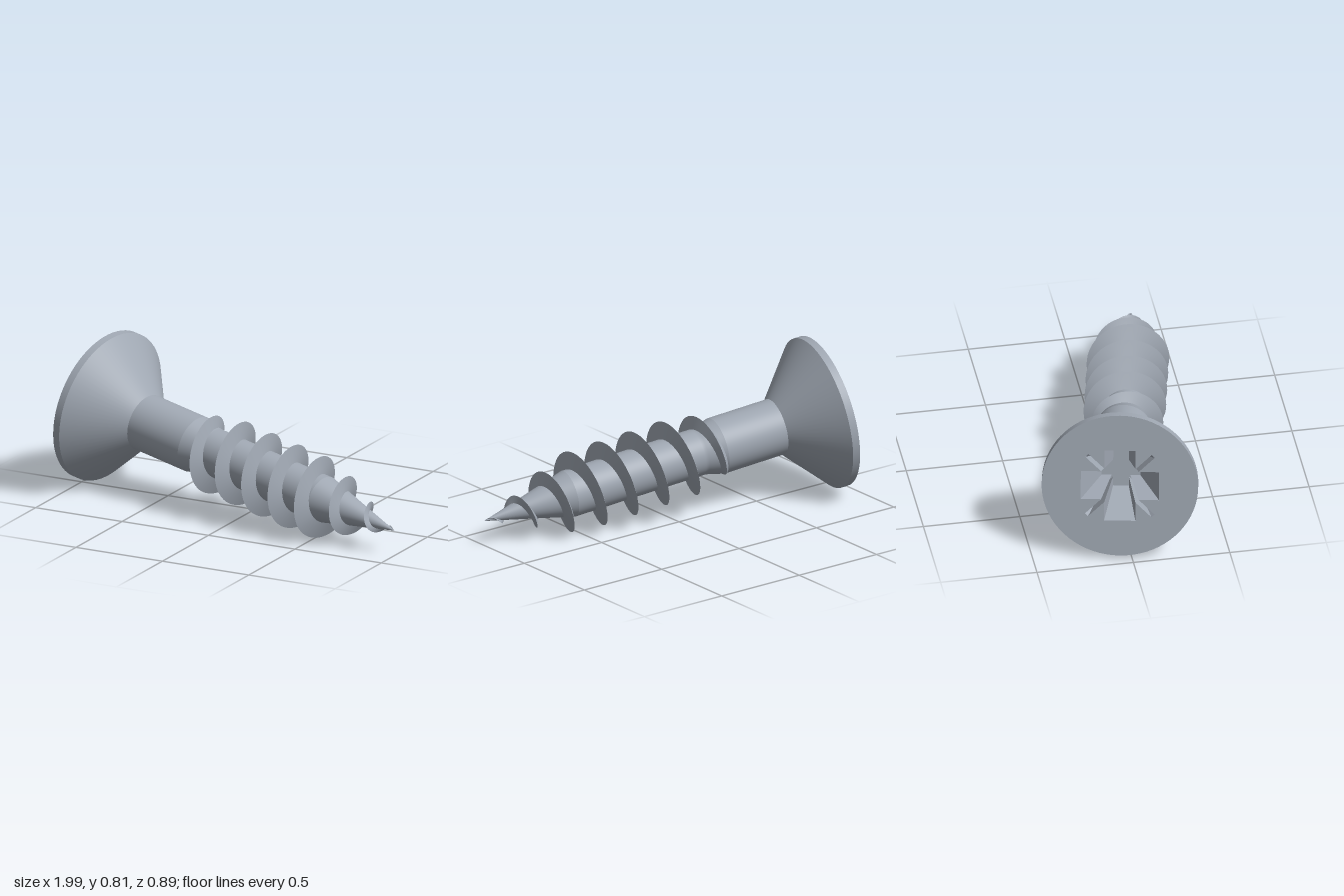
import * as THREE from 'three';

const HEAD_R = 0.4, CONE_START = 1.47, TIP = 1.955, PITCH = 0.1775;
const lerp = THREE.MathUtils.lerp;
const ramp = (s, a, b) => THREE.MathUtils.clamp((s - a) / (b - a), 0, 1);

// Radius of the solid core and of the thread crest at distance s from the head face
const coreR = s => lerp(0.148, 0.122, ramp(s, 0.62, 0.72)) * (1 - ramp(s, CONE_START, TIP));
const crestR = s => lerp(0.14, 0.21, ramp(s, 0.585, 0.77)) * (1 - ramp(s, CONE_START, TIP));

function lathe(points) {
  return new THREE.LatheGeometry(points.map(([r, s]) => new THREE.Vector2(r, s)), 72);
}

// Sharp helical ridge: two flanks meeting at the crest
function threadGeometry() {
  const start = 0.57, end = 1.945, steps = 400;
  const pos = [], index = [];
  for (let i = 0; i <= steps; i++) {
    const s = lerp(start, end, i / steps);
    const a = ((s - 1.054) / PITCH) * Math.PI * 2;
    const shrink = 1 - 0.75 * ramp(s, CONE_START, TIP);
    const base = Math.max(coreR(s) - 0.012, 0.001);
    const crest = Math.max(crestR(s), base + 0.001);
    const section = [[base, s - 0.036 * shrink], [crest, s], [crest, s], [base, s + 0.028 * shrink]];
    for (const [r, y] of section) pos.push(r * Math.cos(a), y, -r * Math.sin(a));
    if (i === steps) continue;
    const k = i * 4, n = k + 4;
    index.push(k, n, k + 1, k + 1, n, n + 1);             // flank towards the head
    index.push(k + 3, k + 2, n + 3, k + 2, n + 2, n + 3); // flank towards the tip
  }
  const g = new THREE.BufferGeometry();
  g.setAttribute('position', new THREE.Float32BufferAttribute(pos, 3));
  g.setIndex(index);
  g.computeVertexNormals();
  return g;
}

// Counter-clockwise outline of the drive: four wide arms and four thin diagonal slots
function driveOutline() {
  const quarter = [[0.2, -0.08], [0.2, 0.08], [0.096, 0.08], [0.178, 0.162], [0.162, 0.178], [0.08, 0.096]];
  const out = [];
  for (let q = 0; q < 4; q++) {
    for (const [x, y] of quarter) {
      out.push(new THREE.Vector2(x, y).rotateAround(new THREE.Vector2(), q * Math.PI / 2));
    }
  }
  return out;
}

// Tapered walls of the recess, going down -z from the outline
function recessWalls(outline, depth, scale) {
  const pos = [];
  outline.forEach((p, i) => {
    const q = outline[(i + 1) % outline.length];
    const a = [p.x, p.y, 0], b = [q.x, q.y, 0];
    const c = [p.x * scale, p.y * scale, -depth], d = [q.x * scale, q.y * scale, -depth];
    pos.push(...a, ...b, ...c, ...b, ...d, ...c);
  });
  const g = new THREE.BufferGeometry();
  g.setAttribute('position', new THREE.Float32BufferAttribute(pos, 3));
  g.computeVertexNormals();
  return g;
}

export function createModel() {
  const steel = new THREE.MeshStandardMaterial({ color: 0xa0a8b3 });
  steel.name = 'steel';
  const model = new THREE.Group();
  model.name = 'screw';
  const screw = new THREE.Group();
  screw.name = 'tiltedScrew';
  model.add(screw);
  const add = (name, geometry) => {
    const mesh = new THREE.Mesh(geometry, steel);
    mesh.name = name;
    screw.add(mesh);
  };

  // Countersunk head
  add('headRim', lathe([[HEAD_R, 0], [HEAD_R, 0.04]]));
  add('headCone', lathe([[HEAD_R, 0.04], [0.148, 0.282]]));

  // Flat face with the drive recess
  const outline = driveOutline(), depth = 0.2, scale = 0.5;
  const face = new THREE.Shape().absarc(0, 0, HEAD_R, 0, Math.PI * 2, false);
  face.holes.push(new THREE.Path(outline.slice().reverse()));
  add('headFace', new THREE.ShapeGeometry(face, 36).rotateX(Math.PI / 2));
  add('driveWalls', recessWalls(outline, depth, scale).rotateX(Math.PI / 2));
  const floor = new THREE.Shape(outline.map(p => p.clone().multiplyScalar(scale)));
  add('driveFloor', new THREE.ShapeGeometry(floor).translate(0, 0, -depth).rotateX(Math.PI / 2));

  // Shank, core and pointed tip
  add('shank', lathe([[0.148, 0.282], [0.148, 0.62]]));
  add('core', lathe([0.62, 0.72, 0.74, CONE_START].map(s => [coreR(s), s])));
  add('tip', lathe([[coreR(CONE_START), CONE_START], [0.06, lerp(CONE_START, TIP, 0.5)], [0, TIP]]));
  add('thread', threadGeometry());

  // Lay the screw down, resting on its head and thread
  const axis = new THREE.Vector3(1, -0.152, 0.209).normalize();
  const up = new THREE.Vector3(0, 1, 0).addScaledVector(axis, -axis.y).normalize();
  const side = new THREE.Vector3().crossVectors(up, axis);
  screw.quaternion.setFromRotationMatrix(new THREE.Matrix4().makeBasis(up, axis, side));
  screw.position.set(-0.898, 0.402, -0.052);
  return model;
}
